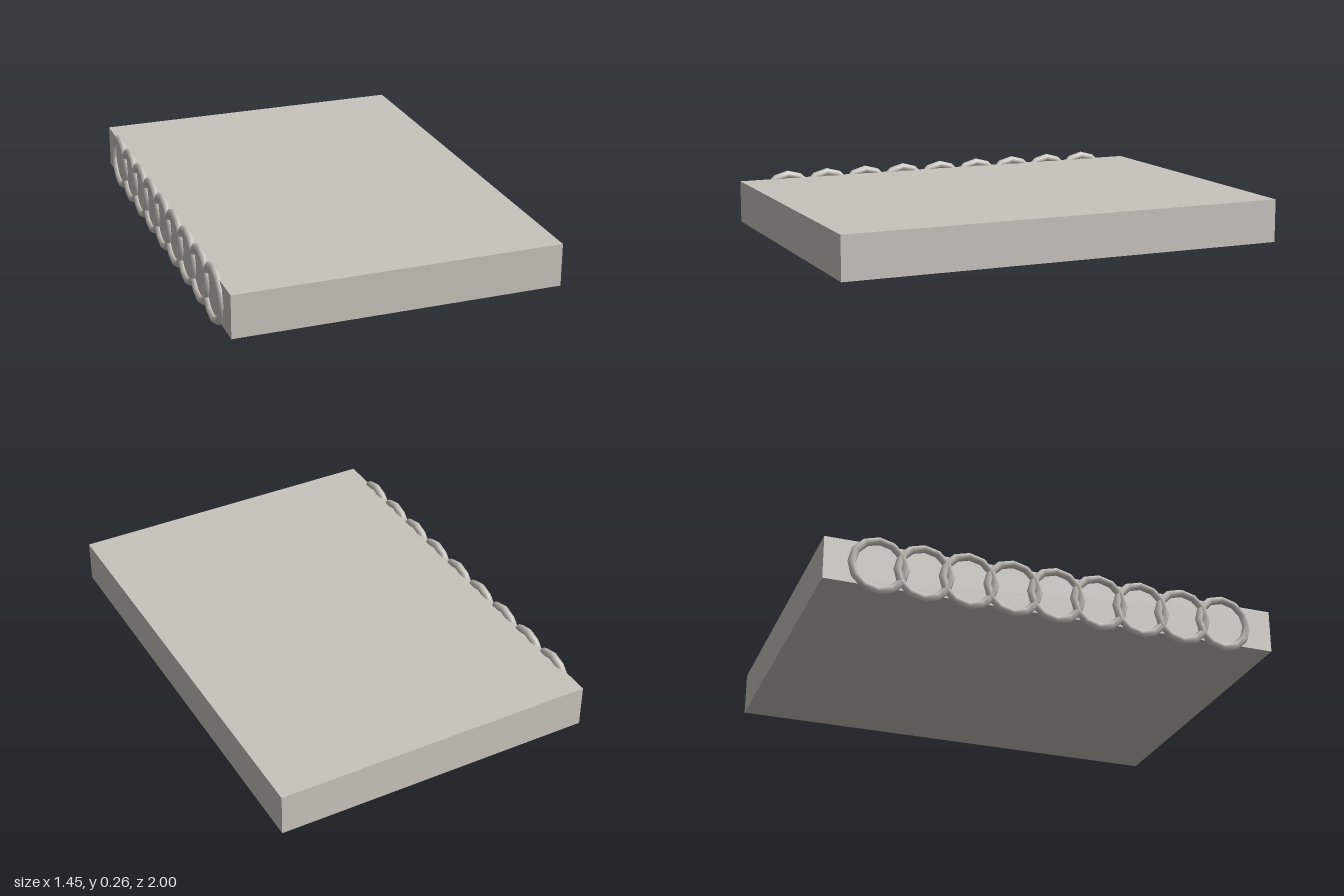
import * as THREE from 'three';

export function createModel() {
  const model = new THREE.Group();
  const warmGrey = new THREE.MeshStandardMaterial({ color: 0xc8c4bd });
  warmGrey.name = 'warmGrey';

  // Plain slab: the closed pad of pages
  const slab = new THREE.Mesh(new THREE.BoxGeometry(1.435, 0.19, 2), warmGrey);
  slab.name = 'pagePad';
  slab.position.set(0.0075, 0.135, 0);
  model.add(slab);

  // Row of low-poly binding rings along the left-hand edge
  const rings = new THREE.Group();
  rings.name = 'bindingRings';
  const ringGeometry = new THREE.TorusGeometry(0.113, 0.018, 6, 12);
  ringGeometry.rotateY(Math.PI / 2);
  for (let i = -4; i <= 4; i++) {
    const ring = new THREE.Mesh(ringGeometry, warmGrey);
    ring.name = 'bindingRing';
    ring.position.set(-0.71, 0.135, i * 0.1925);
    rings.add(ring);
  }
  model.add(rings);

  return model;
}
